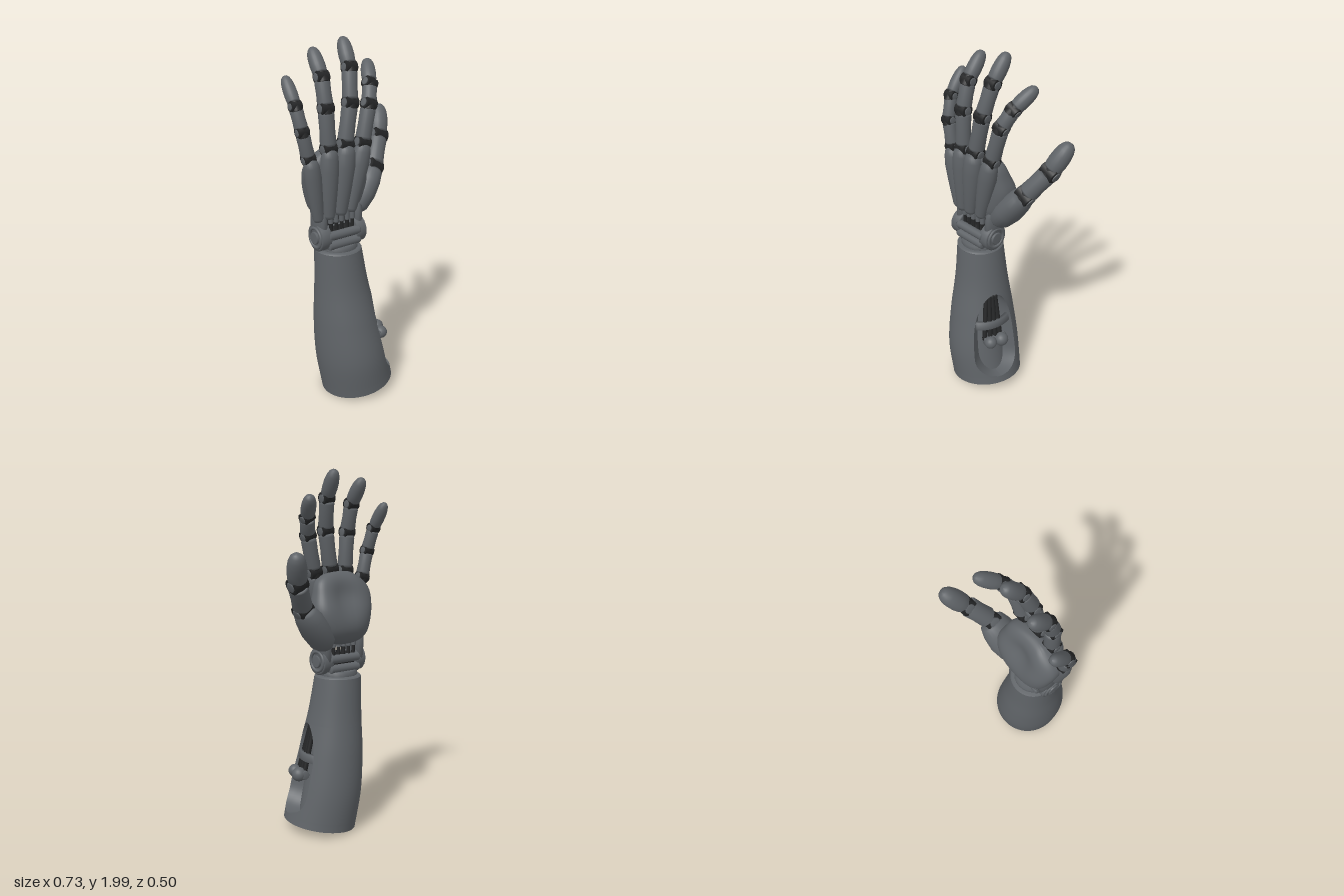
import * as THREE from 'three';
import { mergeVertices } from 'three/addons/utils/BufferGeometryUtils.js';

const V = (x, y, z) => new THREE.Vector3(x, y, z);

// Smooth sheet from a rule fn(i, j), seams welded
function grid(nu, nv, fn) {
  const pos = [], idx = [];
  for (let i = 0; i <= nu; i++) for (let j = 0; j <= nv; j++) pos.push(...fn(i, j).toArray());
  for (let i = 0; i < nu; i++) for (let j = 0; j < nv; j++) {
    const a = i * (nv + 1) + j, b = a + nv + 1;
    idx.push(a, b, b + 1, a, b + 1, a + 1);
  }
  let g = new THREE.BufferGeometry();
  g.setAttribute('position', new THREE.Float32BufferAttribute(pos, 3));
  g.setIndex(idx);
  g = mergeVertices(g, 1e-5);
  g.computeVertexNormals();
  return g;
}

export function createModel() {
  const root = new THREE.Group();
  const shell = new THREE.MeshStandardMaterial({ color: 0x5f6367, side: THREE.DoubleSide });
  shell.name = 'graphite shell';
  const dark = new THREE.MeshStandardMaterial({ color: 0x242526, side: THREE.DoubleSide });
  dark.name = 'black joint';

  const add = (name, geo, mat = shell, parent = root) => {
    const m = new THREE.Mesh(geo, mat);
    m.name = name;
    parent.add(m);
    return m;
  };
  // Turned piece from a to b; profile is [radius, fraction], depth flattens it front to back
  const turned = (name, a, b, profile, mat, depth = 1, parent = root) => {
    const d = b.clone().sub(a), L = d.length();
    d.normalize();
    const pts = profile.map(([r, t]) => new THREE.Vector2(r, t * L));
    const m = add(name, new THREE.LatheGeometry(pts, 24), mat, parent);
    const hint = Math.abs(d.z) > 0.9 ? V(1, 0, 0) : V(0, 0, 1);
    const x = d.clone().cross(hint).normalize(), z = x.clone().cross(d);
    m.quaternion.setFromRotationMatrix(new THREE.Matrix4().makeBasis(x, d, z));
    m.position.copy(a);
    m.scale.z = depth;
    return m;
  };
  const rod = (name, a, b, r, mat, parent) =>
    turned(name, a, b, [[0, 0], [r * 0.85, 0], [r, 0.04], [r, 0.96], [r * 0.85, 1], [0, 1]], mat, 1, parent);
  const ball = (name, p, r, mat) => add(name, new THREE.SphereGeometry(r, 20, 14), mat).position.copy(p);

  // Forearm: oval sections leaning sideways, tilted base
  const Y0 = 0.034, Y1 = 0.88, N = 48;
  const curve = a => new THREE.CatmullRomCurve3(a.map(([c, r]) => V(c, r, 0)), false, 'catmullrom');
  const secX = curve([[0, 0.203], [-0.037, 0.198], [-0.062, 0.178], [-0.08, 0.15], [-0.095, 0.13]]);
  const secZ = curve([[0.045, 0.205], [0.037, 0.213], [0.022, 0.188], [0.008, 0.152], [0, 0.13]]);
  const arm = (y, a, k = 1) => {
    const t = (y - Y0) / (Y1 - Y0), sx = secX.getPoint(t), sz = secZ.getPoint(t);
    const x = sx.x + k * sx.y * Math.cos(a), z = sz.x + k * sz.y * Math.sin(a);
    return V(x, y + (0.15 * x + 0.05 * (z - 0.045)) * (1 - t) ** 2, z);
  };
  // Egg-shaped window in the side of the forearm
  const A0 = 0.3, W = 0.68, lo = 0.08, hi = 0.62;
  const halfWidth = y => {
    if (y <= lo || y >= hi) return 0;
    const e = Math.max(0, (lo + 0.13 - y) / 0.13, (y - hi + 0.24) / 0.24);
    return W * Math.sqrt(Math.max(0, 1 - e * e));
  };
  const hole = [];
  for (let i = 0; i <= 40; i++) hole.push(0.35 - 0.27 * Math.cos(Math.PI * i / 40));
  const rows = [Y0, 0.045, 0.06, ...hole];
  for (let i = 1; i <= 10; i++) rows.push(hi + (Y1 - hi) * i / 10);
  const forearm = new THREE.Group();
  forearm.name = 'forearm';
  root.add(forearm);
  add('forearmShell', grid(rows.length - 1, N, (i, j) => {
    const w = halfWidth(rows[i]);
    return arm(rows[i], A0 + w + (2 * Math.PI - 2 * w) * j / N);
  }), shell, forearm);
  add('forearmBase', grid(1, N, (i, j) => arm(Y0, 2 * Math.PI * j / N, i)), shell, forearm);
  add('forearmTop', grid(2, N, (i, j) => {
    const p = arm(Y1, 2 * Math.PI * j / N, [1, 0.93, 0][i]);
    p.y += i ? 0.01 : 0;
    return p;
  }), shell, forearm);
  add('windowFloor', grid(40, 16, (i, j) =>
    arm(hole[i], A0 + halfWidth(hole[i]) * (j / 8 - 1), 0.6)), shell, forearm);
  for (const s of [-1, 1])
    add('windowRim', grid(40, 3, (i, j) =>
      arm(hole[i], A0 + s * halfWidth(hole[i]), 1 - 0.4 * j / 3)), shell, forearm);

  // Tendons, strap and knobs inside the window
  for (let i = 0; i < 4; i++) {
    const a = A0 - 0.24 + 0.2 * i;
    rod('forearmTendon', arm(0.33, a, 0.82), arm(0.6, A0 + (a - A0) * 0.7, 0.8), 0.014, dark, forearm);
  }
  add('tendonStrap', grid(4, 16, (i, j) =>
    arm([0.405, 0.405, 0.45, 0.45, 0.405][i], A0 + 0.66 * (j / 8 - 1), [0.82, 0.93, 0.93, 0.82, 0.82][i])), shell, forearm);
  ball('tendonKnob', arm(0.325, 0.12, 0.96), 0.04, shell);
  ball('tendonKnob', arm(0.325, 0.48, 0.96), 0.036, shell);
  rod('knobAxle', arm(0.325, -0.1, 0.88), arm(0.325, 0.68, 0.88), 0.025, shell, forearm);

  // Wrist: neck, cross bars, hinge hubs and cables
  rod('wristNeck', V(-0.095, 0.87, 0), V(-0.095, 0.915, 0), 0.108, shell);
  for (const z of [-0.05, 0.065]) for (const y of [0.93, 0.985])
    rod('wristBar', V(-0.2, y, z), V(0.0, y, z), 0.024, shell);
  rod('wristAxle', V(-0.2, 0.965, 0.01), V(0, 0.965, 0.01), 0.045, dark);
  for (const [x, s] of [[-0.215, -1], [0.01, 1]]) {
    const y = 0.972, z = 0.01;
    rod('wristHub', V(x - 0.03, y, z), V(x + 0.03, y, z), 0.075, shell);
    rod('hubCap', V(x, y, z), V(x + s * 0.042, y, z), 0.035, shell);
    const ring = add('hubRing', new THREE.TorusGeometry(0.054, 0.009, 10, 28), shell);
    ring.rotation.y = Math.PI / 2;
    ring.position.set(x + s * 0.03, y, z);
    turned('wristBracket', V(x, 0.97, 0), V(x + 0.005, 1.13, -0.01),
      [[0, 0], [0.034, 0.02], [0.034, 0.85], [0.022, 1], [0, 1]], shell, 1.9);
  }
  for (let i = 0; i < 5; i++) for (const z of [0.045, -0.045]) {
    const x = -0.165 + 0.034 * i, top = V(x * 1.05, 1.12, z);
    rod('wristCable', V(x, 0.96, z), top, 0.01, dark);
    rod('cableSleeve', V(x * 1.03, 1.05, z), top, 0.014, shell);
  }

  // Palm: rounded sections with a hollow on the grip side
  const palmX = curve([[-0.1, 0.14], [-0.085, 0.17], [-0.085, 0.19], [-0.105, 0.185], [-0.11, 0.175]]);
  const palmZ = curve([[-0.025, 0.08], [-0.04, 0.1], [-0.04, 0.1], [-0.022, 0.082], [-0.002, 0.06]]);
  add('palm', grid(32, N, (i, j) => {
    const t = 0.5 - 0.5 * Math.cos(Math.PI * i / 32), a = 2 * Math.PI * j / N;
    const k = Math.sqrt(Math.max(0, 1 - Math.abs(2 * t - 1) ** 7));
    const sx = palmX.getPoint(t), sz = palmZ.getPoint(t);
    const bend = v => Math.sign(v) * Math.abs(v) ** 0.8;
    const x = sx.x + k * sx.y * bend(Math.cos(a));
    let z = sz.x + k * sz.y * bend(Math.sin(a)), y = 1.06 + 0.4 * t;
    if (z < 0) z += 0.045 * Math.exp(-(((x + 0.08) / 0.09) ** 2) - ((y - 1.32) / 0.1) ** 2) * Math.min(1, -z / 0.05);
    y -= t * 0.35 * Math.max(0, -0.17 - x);
    return V(x, y, z);
  }));

  // Hinge between two finger pieces, axis across the finger
  const hinge = (p, dir, r) => {
    const ax = dir.clone().cross(V(0, 0, 1)).normalize();
    const end = s => p.clone().addScaledVector(ax, s * r);
    rod('jointBarrel', end(-0.9), end(0.9), r * 0.88, dark);
    rod('jointPin', end(-1.03), end(1.03), r * 0.55, shell);
    rod('jointCore', p.clone().addScaledVector(dir, -0.035), p.clone().addScaledVector(dir, 0.035), r * 0.86, dark);
  };
  // Chain of tapering pieces ending in a domed tip
  const finger = (name, pts, r) => {
    for (let i = 0; i < pts.length - 1; i++) {
      const a = pts[i], b = pts[i + 1], d = b.clone().sub(a).normalize();
      const last = i === pts.length - 2, q = r * (1 - 0.04 * i);
      hinge(a, d, q);
      const from = a.clone().addScaledVector(d, 0.018);
      const to = last ? b : b.clone().addScaledVector(d, -0.018);
      const prof = last
        ? [[0, 0], [q * 0.85, 0], [q, 0.06], [q * 1.06, 0.3], [q * 1.02, 0.55], [q * 0.9, 0.75], [q * 0.68, 0.9], [q * 0.38, 0.98], [0, 1]]
        : [[0, 0], [q * 0.9, 0], [q * 1.04, 0.08], [q * 0.98, 0.5], [q * 1.02, 0.92], [q * 0.88, 1], [0, 1]];
      turned(name + (last ? 'Tip' : 'Segment'), from, to, prof, shell);
    }
  };
  finger('littleFinger', [V(-0.285, 1.42, 0.02), V(-0.315, 1.565, 0.015), V(-0.33, 1.69, -0.02), V(-0.33, 1.825, -0.115)], 0.036);
  finger('ringFinger', [V(-0.175, 1.46, 0.04), V(-0.182, 1.67, 0.03), V(-0.18, 1.82, -0.008), V(-0.175, 1.952, -0.105)], 0.041);
  finger('middleFinger', [V(-0.075, 1.47, 0.045), V(-0.035, 1.68, 0.033), V(-0.008, 1.85, -0.012), V(0.008, 1.99, -0.1)], 0.042);
  finger('indexFinger', [V(0.04, 1.46, 0.04), V(0.09, 1.655, 0.025), V(0.128, 1.75, -0.02), V(0.185, 1.855, -0.125)], 0.041);
  finger('thumb', [V(0.185, 1.275, -0.06), V(0.278, 1.42, -0.14), V(0.34, 1.575, -0.22)], 0.052);

  // Back-of-hand plates, one behind each finger
  const plates = [
    [V(-0.235, 1.07, 0.03), V(-0.282, 1.42, 0.035), 0.043],
    [V(-0.182, 1.08, 0.05), V(-0.178, 1.465, 0.055), 0.047],
    [V(-0.115, 1.09, 0.055), V(-0.075, 1.47, 0.06), 0.052],
    [V(-0.045, 1.09, 0.045), V(0.04, 1.46, 0.05), 0.048],
  ];
  for (const [a, b, r] of plates)
    turned('handPlate', a, b, [[0, 0], [r * 0.55, 0.01], [r * 0.72, 0.06], [r * 0.95, 0.4],
      [r * 1.1, 0.7], [r, 0.88], [r * 0.8, 0.96], [r * 0.4, 1], [0, 1]], shell, 0.9);

  // Thumb root
  turned('thumbRoot', V(0.015, 1.06, -0.03), V(0.18, 1.27, -0.06), [[0, 0], [0.045, 0.02], [0.066, 0.15],
    [0.076, 0.45], [0.07, 0.75], [0.058, 0.95], [0.045, 1], [0, 1]], shell, 1.25);
  return root;
}
